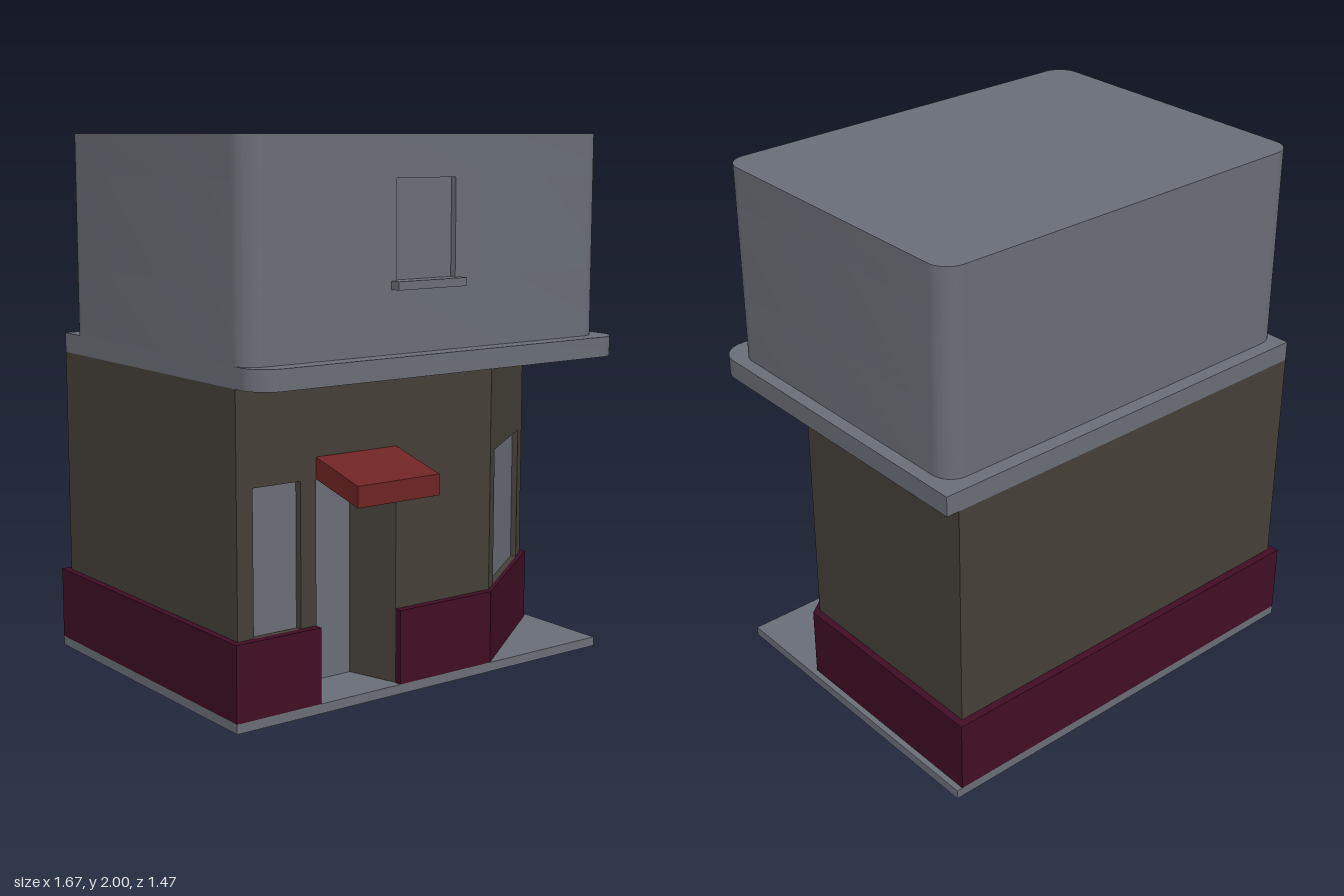
import * as THREE from 'three';
import { toCreasedNormals } from 'three/addons/utils/BufferGeometryUtils.js';

const material = (name, color) => new THREE.MeshStandardMaterial({ name, color });

export function createModel() {
  const grey = material('slate grey', 0x6a6e76);
  const brown = material('dark brown', 0x453f38);
  const maroon = material('maroon', 0x400e24);
  const red = material('awning red', 0x6e2323);

  const building = new THREE.Group();
  building.name = 'cornerShop';

  const add = (name, geometry, mat) => {
    const mesh = new THREE.Mesh(geometry, mat);
    mesh.name = name;
    building.add(mesh);
    return mesh;
  };

  // Box given by its lower and upper corners
  const box = (name, mat, [x0, y0, z0], [x1, y1, z1]) => {
    const mesh = add(name, new THREE.BoxGeometry(x1 - x0, y1 - y0, z1 - z0), mat);
    mesh.position.set((x0 + x1) / 2, (y0 + y1) / 2, (z0 + z1) / 2);
    return mesh;
  };

  // Floor plan raised from y0 to y1 (shape y is -z)
  const raise = (name, mat, shape, y0, y1) => {
    const g = new THREE.ExtrudeGeometry(shape, { depth: y1 - y0, bevelEnabled: false, curveSegments: 8 });
    g.rotateX(-Math.PI / 2).translate(0, y0, 0);
    return add(name, toCreasedNormals(g, 0.5), mat);
  };
  const plan = (points) => new THREE.Shape(points.map(([x, z]) => new THREE.Vector2(x, -z)));

  // Rectangular plan with rounded front and back corners, optional front notch
  const roundedPlan = (x0, x1, z0, z1, rf, rb, notch) => {
    const s = new THREE.Shape();
    const q = Math.PI / 2;
    s.moveTo(x0 + rf, -z1);
    if (notch) {
      const [a, b, d] = notch;
      s.lineTo(a, -z1).lineTo(a, -z1 + d).lineTo(b, -z1 + d).lineTo(b, -z1);
    }
    s.lineTo(x1 - rf, -z1);
    s.absarc(x1 - rf, -z1 + rf, rf, -q, 0, false);
    s.lineTo(x1, -z0 - rb);
    if (rb) s.absarc(x1 - rb, -z0 - rb, rb, 0, q, false);
    s.lineTo(x0 + rb, -z0);
    if (rb) s.absarc(x0 + rb, -z0 - rb, rb, q, 2 * q, false);
    s.lineTo(x0, -z1 + rf);
    s.absarc(x0 + rf, -z1 + rf, rf, 2 * q, 3 * q, false);
    return s;
  };

  // Ground slab
  box('groundSlab', grey, [-0.84, 0, -0.735], [0.835, 0.035, 0.525]);

  // Ground floor walls: cut corner, tapering door alcove, shallow window recesses
  const front = 0.495;
  const alcove = [[-0.49, front], [-0.435, 0.295], [-0.2, 0.295], [-0.14, front]];
  const sideWindow = [[-0.75, front], [-0.75, 0.47], [-0.56, 0.47], [-0.555, front]];
  const cornerWindow = [[0.365, 0.451], [0.35, 0.431], [0.71, 0.164], [0.725, 0.184]];
  const corner = [[0.305, front], [0.785, 0.14]];
  const back = [[0.785, -0.705], [-0.815, -0.705]];
  const start = [-0.815, front];
  raise('lowerWall', brown, plan([start, ...alcove, ...corner, ...back]), 0.035, 0.31);
  raise('windowWall', brown,
    plan([start, ...sideWindow, ...alcove, corner[0], ...cornerWindow, corner[1], ...back]), 0.31, 0.83);
  raise('upperWall', brown, plan([start, ...corner, ...back]), 0.83, 1.17);

  // Door and side window panels
  box('door', grey, [-0.435, 0.035, 0.293], [-0.2, 0.83, 0.299]);
  box('sideWindow', grey, [-0.75, 0.31, 0.468], [-0.56, 0.83, 0.474]);

  // Panel on the cut corner
  const cornerPane = add('cornerWindow', new THREE.BoxGeometry(0.448, 0.52, 0.006), grey);
  cornerPane.position.set(0.53, 0.57, 0.2975);
  cornerPane.rotation.y = Math.atan2(0.48, 0.355) * -1 + Math.PI / 2;

  // Plinth band around the walls, open at the door
  raise('plinth', maroon, plan([
    [-0.14, 0.525], [0.29, 0.525], [0.812, 0.145], [0.812, -0.735], [-0.84, -0.735], [-0.84, 0.525], [-0.49, 0.525],
    [-0.49, front], start, back[1], back[0], corner[1], corner[0], [-0.14, front],
  ]), 0.035, 0.31);

  // Sloping awning over the door
  const slope = new THREE.Shape([[0.495, 0.83], [0.735, 0.77], [0.735, 0.845], [0.495, 0.907]]
    .map(([z, y]) => new THREE.Vector2(-z, y)));
  const awning = new THREE.ExtrudeGeometry(slope, { depth: 0.35, bevelEnabled: false });
  awning.rotateY(Math.PI / 2).translate(-0.49, 0, 0);
  add('awning', awning, red);

  // Cornice ledge
  raise('cornice', grey, roundedPlan(-0.815, 0.835, -0.705, 0.63, 0.1, 0), 1.17, 1.245);

  // Upper storey with a shallow window recess
  const storey = [-0.815, 0.785, -0.65, 0.56, 0.08, 0.08];
  raise('upperStoreyBase', grey, roundedPlan(...storey), 1.245, 1.5);
  raise('upperStoreyMiddle', grey, roundedPlan(...storey, [-0.195, 0.07, 0.025]), 1.5, 1.85);
  raise('upperStoreyTop', grey, roundedPlan(...storey), 1.85, 2);
  box('upperWindowSill', grey, [-0.215, 1.47, 0.55], [0.09, 1.5, 0.6]);

  return building;
}
